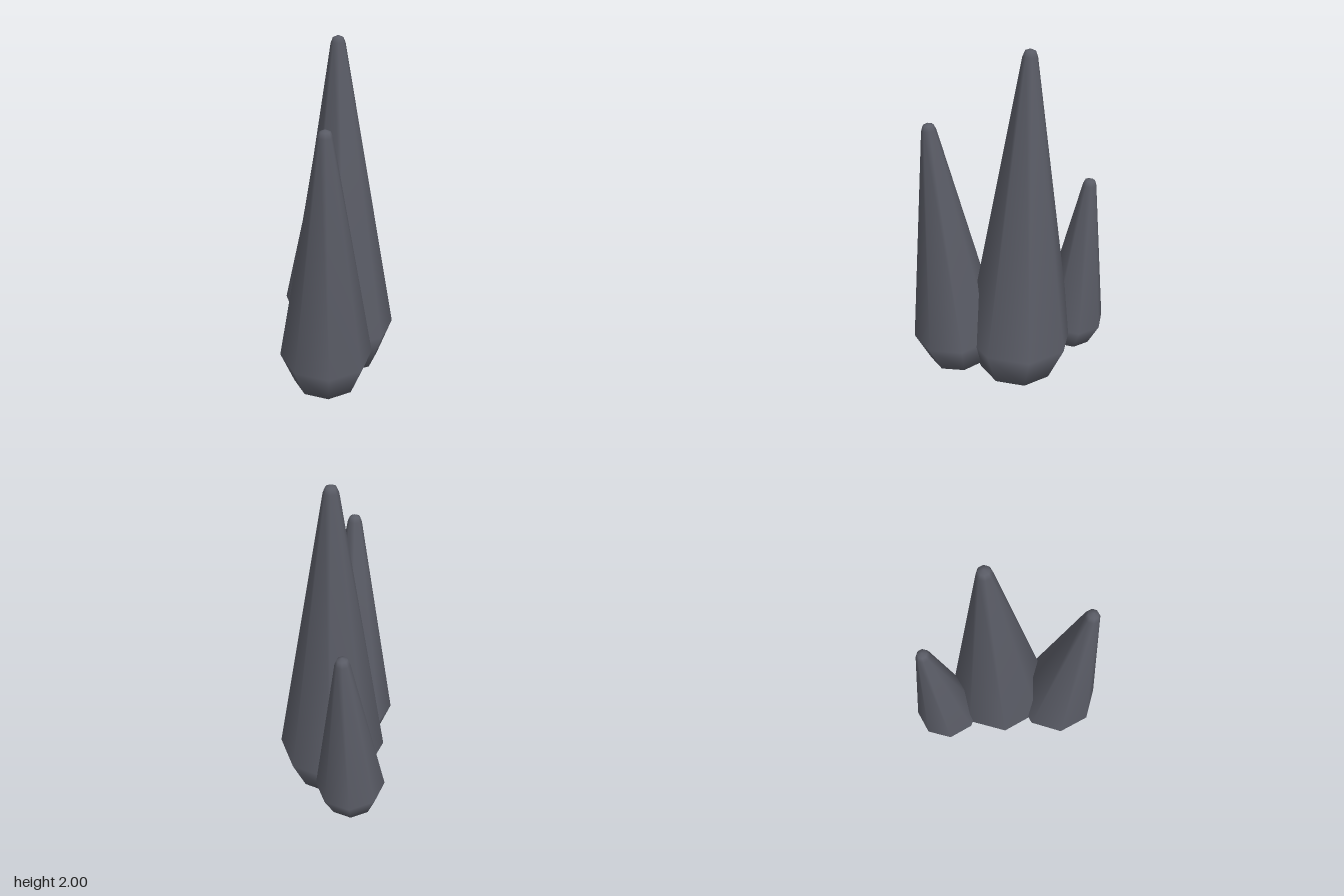
import * as THREE from 'three';

const SIDES = 8;
const TIP_RADIUS = 0.04;

// Tapered capsule: round foot, straight taper, small round tip.
// The origin is the centre of the foot's widest ring.
function spireGeometry(radius, length) {
  const profile = [];
  for (let i = 0; i <= 2; i++) {
    const a = (i * Math.PI) / 4;
    profile.push(new THREE.Vector2(radius * Math.sin(a), -radius * Math.cos(a)));
  }
  for (let i = 0; i <= 2; i++) {
    const a = (i * Math.PI) / 4;
    profile.push(new THREE.Vector2(i === 2 ? 0 : TIP_RADIUS * Math.cos(a), length + TIP_RADIUS * Math.sin(a)));
  }
  const geometry = new THREE.LatheGeometry(profile, SIDES);

  // Smooth the two poles
  const { position, normal } = geometry.attributes;
  for (let i = 0; i < position.count; i++) {
    if (Math.hypot(position.getX(i), position.getZ(i)) < 1e-6) {
      normal.setXYZ(i, 0, Math.sign(position.getY(i)), 0);
    }
  }
  return geometry;
}

export function createModel() {
  const model = new THREE.Group();
  model.name = 'spireCluster';

  const stone = new THREE.MeshStandardMaterial({ color: 0x5a5c66 });
  stone.name = 'slateGrey';

  // Each spire leans from its foot centre to its tip centre
  const spires = [
    { name: 'tallSpire', radius: 0.313, foot: [0.11, 0.315, 0.05], tip: [0.132, 1.96, -0.002] },
    { name: 'middleSpire', radius: 0.255, foot: [-0.216, 0.318, 0.225], tip: [-0.302, 1.572, 0.29] },
    { name: 'shortSpire', radius: 0.197, foot: [0.272, 0.317, -0.285], tip: [0.342, 1.206, -0.304] },
  ];

  const up = new THREE.Vector3(0, 1, 0);
  for (const { name, radius, foot, tip } of spires) {
    const base = new THREE.Vector3(...foot);
    const axis = new THREE.Vector3(...tip).sub(base);
    const mesh = new THREE.Mesh(spireGeometry(radius, axis.length()), stone);
    mesh.name = name;
    mesh.position.copy(base);
    mesh.quaternion.setFromUnitVectors(up, axis.normalize());
    model.add(mesh);
  }
  return model;
}
